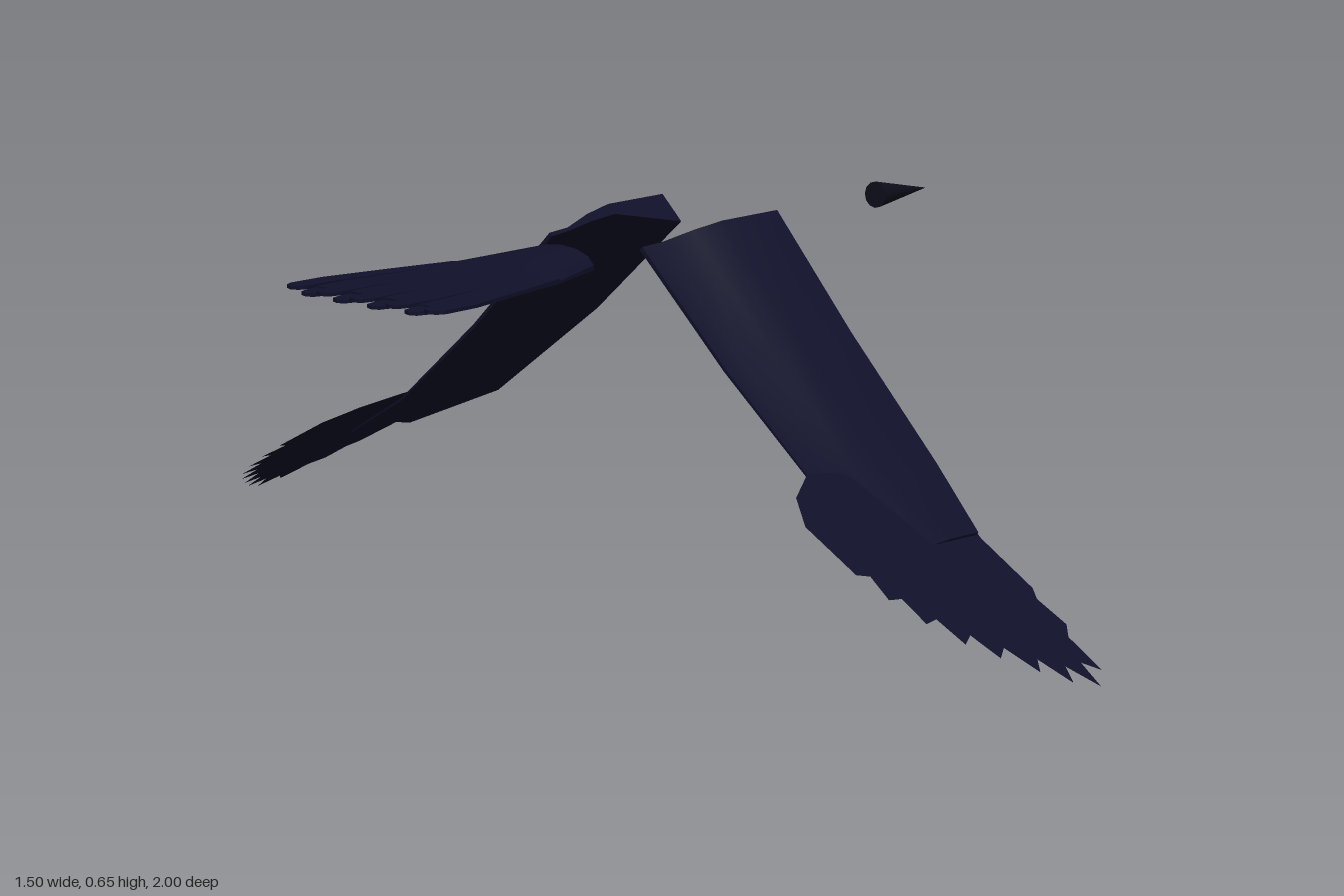
import * as THREE from 'three';
import { toCreasedNormals } from 'three/addons/utils/BufferGeometryUtils.js';

// Skin a list of rings (upper points, then lower points back again), capped at both ends.
function loft(rings, flip = false) {
  const n = rings[0].length;
  const index = [];
  const tri = (a, b, c) => (flip ? index.push(a, c, b) : index.push(a, b, c));
  for (let i = 0; i < rings.length - 1; i++) {
    for (let j = 0; j < n; j++) {
      const a = i * n + j, b = i * n + ((j + 1) % n), c = a + n, d = b + n;
      tri(a, c, b);
      tri(b, c, d);
    }
  }
  const end = (rings.length - 1) * n;
  for (let j = 0; j < n / 2 - 1; j++) {
    const k = n - 1 - j;
    tri(j, j + 1, k);
    tri(j + 1, k - 1, k);
    tri(end + j, end + k, end + j + 1);
    tri(end + j + 1, end + k, end + k - 1);
  }
  const g = new THREE.BufferGeometry();
  g.setAttribute('position', new THREE.Float32BufferAttribute(rings.flat(2), 3));
  g.setIndex(index);
  return toCreasedNormals(g, 0.6);
}

// Cambered wing section: [chord fraction from trailing edge, height]
const section = [
  [0, -0.006], [0.15, -0.002], [0.35, 0.018], [0.55, 0.031], [1, 0.032],
  [1, -0.032], [0.55, 0.008], [0.35, 0.002], [0.15, -0.009], [0, -0.014],
];

// Wing stations: z, y, tilt in degrees, leading x, trailing x, thickness, sweep
const stations = [
  [0.1125, 0.6225, 45, 0.145, -0.18, 1, 0],
  [0.3, 0.435, 45, 0.13, -0.18, 0.75, 0],
  [0.505, 0.258, 54, 0.1, -0.18, 0.45, 0.04],
  [0.67, 0.172, 62, 0.02, -0.14, 0.3, 0.01],
];

function wingArm(side) {
  const rings = stations.map(([z, y, tilt, lead, trail, thick, sweep]) => {
    const a = THREE.MathUtils.degToRad(tilt);
    return section.map(([f, h]) => {
      const along = sweep * (f - 0.5), up = h * thick;
      return [
        trail + (lead - trail) * f,
        y + up * Math.sin(a) - along * Math.cos(a),
        side * (z + up * Math.cos(a) + along * Math.sin(a)),
      ];
    });
  });
  return loft(rings, side < 0);
}

// Flat fan of flight feathers: pointed tips with notches between them
function featherFan(side) {
  const tips = [
    [0.008, 0.8], [-0.008, 0.88], [-0.042, 0.975], [-0.08, 1], [-0.125, 0.978],
    [-0.165, 0.942], [-0.21, 0.897], [-0.247, 0.855], [-0.277, 0.8], [-0.297, 0.74], [-0.306, 0.68],
  ];
  const wrist = [-0.08, 0.55];
  const s = new THREE.Shape();
  s.moveTo(0.08, 0.53);
  s.lineTo(0.02, 0.685);
  tips.forEach(([x, z], i) => {
    s.lineTo(x, z);
    const next = tips[i + 1];
    if (!next) return;
    const notch = 0.09;
    s.lineTo(
      THREE.MathUtils.lerp(x * 0.4 + next[0] * 0.6, wrist[0], notch),
      THREE.MathUtils.lerp(z * 0.4 + next[1] * 0.6, wrist[1], notch),
    );
  });
  [[-0.3, 0.57], [-0.255, 0.513], [-0.18, 0.475]].forEach(([x, z]) => s.lineTo(x, z));
  s.closePath();
  const g = new THREE.ShapeGeometry(s);
  const p = g.attributes.position;
  for (let i = 0; i < p.count; i++) {
    const z = p.getY(i);
    p.setXYZ(i, p.getX(i), 0.535 - 0.535 * z, side * z);
  }
  g.computeVertexNormals();
  return g;
}

// Tail outline: [x, half width, half height]
const tailProfile = [
  [-0.265, 0.076, 0.031], [-0.4, 0.126, 0.017], [-0.5, 0.148, 0.008],
  [-0.65, 0.176, 0.005], [-0.7, 0.177, 0.004],
];

function tailBody() {
  const arc = [8, 35, 62, 90, 118, 145, 172].map(THREE.MathUtils.degToRad);
  const angles = [...arc.map((a) => Math.PI - a), ...arc.map((a) => -a)];
  return loft(tailProfile.map(([x, w, h]) =>
    angles.map((a) => [x, 0.59 + h * Math.sin(a), w * Math.cos(a)])));
}

// One tail feather between two fractions of the tail width, with a rounded end
function tailFeather(u0, u1, drop) {
  const edge = [[-0.4, 0.125], [-0.53, 0.155], [-0.65, 0.18], [-0.72, 0.181]];
  const mid = (u0 + u1) / 2;
  const tipX = -0.75 + 0.013 * mid * mid;
  const s = new THREE.Shape();
  edge.forEach(([x, w], i) => (i ? s.lineTo(x, u0 * w) : s.moveTo(x, u0 * w)));
  s.lineTo(tipX + 0.005, (u0 * 0.85 + u1 * 0.15) * 0.18);
  s.lineTo(tipX, mid * 0.18);
  s.lineTo(tipX + 0.005, (u0 * 0.15 + u1 * 0.85) * 0.18);
  [...edge].reverse().forEach(([x, w]) => s.lineTo(x, u1 * w));
  const g = new THREE.ExtrudeGeometry(s, { depth: 0.006, bevelEnabled: false });
  g.rotateX(Math.PI / 2);
  g.translate(0, 0.596 - drop, 0);
  return g;
}

export function createModel() {
  const plumage = new THREE.MeshStandardMaterial({ color: 0x10102a });
  plumage.name = 'midnight plumage';
  plumage.side = THREE.DoubleSide;
  const horn = new THREE.MeshStandardMaterial({ color: 0x0e0e1c });
  horn.name = 'dark horn';

  const model = new THREE.Group();
  model.name = 'bird';
  const add = (parent, name, geometry, material) => {
    const mesh = new THREE.Mesh(geometry, material);
    mesh.name = name;
    parent.add(mesh);
    return mesh;
  };

  // Wings, mirrored across the body
  for (const [side, label] of [[1, 'front'], [-1, 'back']]) {
    const wing = new THREE.Group();
    wing.name = `${label}Wing`;
    add(wing, 'wingArm', wingArm(side), plumage);
    add(wing, 'flightFeathers', featherFan(side), plumage);
    model.add(wing);
  }

  // Tail with overlapping feathers
  const tail = new THREE.Group();
  tail.name = 'tail';
  add(tail, 'tailBase', tailBody(), plumage);
  const count = 9;
  for (let i = 0; i < count; i++) {
    const u0 = -1 + (2 * i) / count, u1 = u0 + 2 / count;
    add(tail, 'tailFeather', tailFeather(u0, u1, (i % 2) * 0.006), plumage);
  }
  model.add(tail);

  // Beak
  const beak = new THREE.ConeGeometry(0.025, 0.155, 12);
  beak.rotateZ(-Math.PI / 2 - 0.03);
  beak.translate(0.6725, 0.602, 0);
  add(model, 'beak', beak, horn);

  return model;
}
